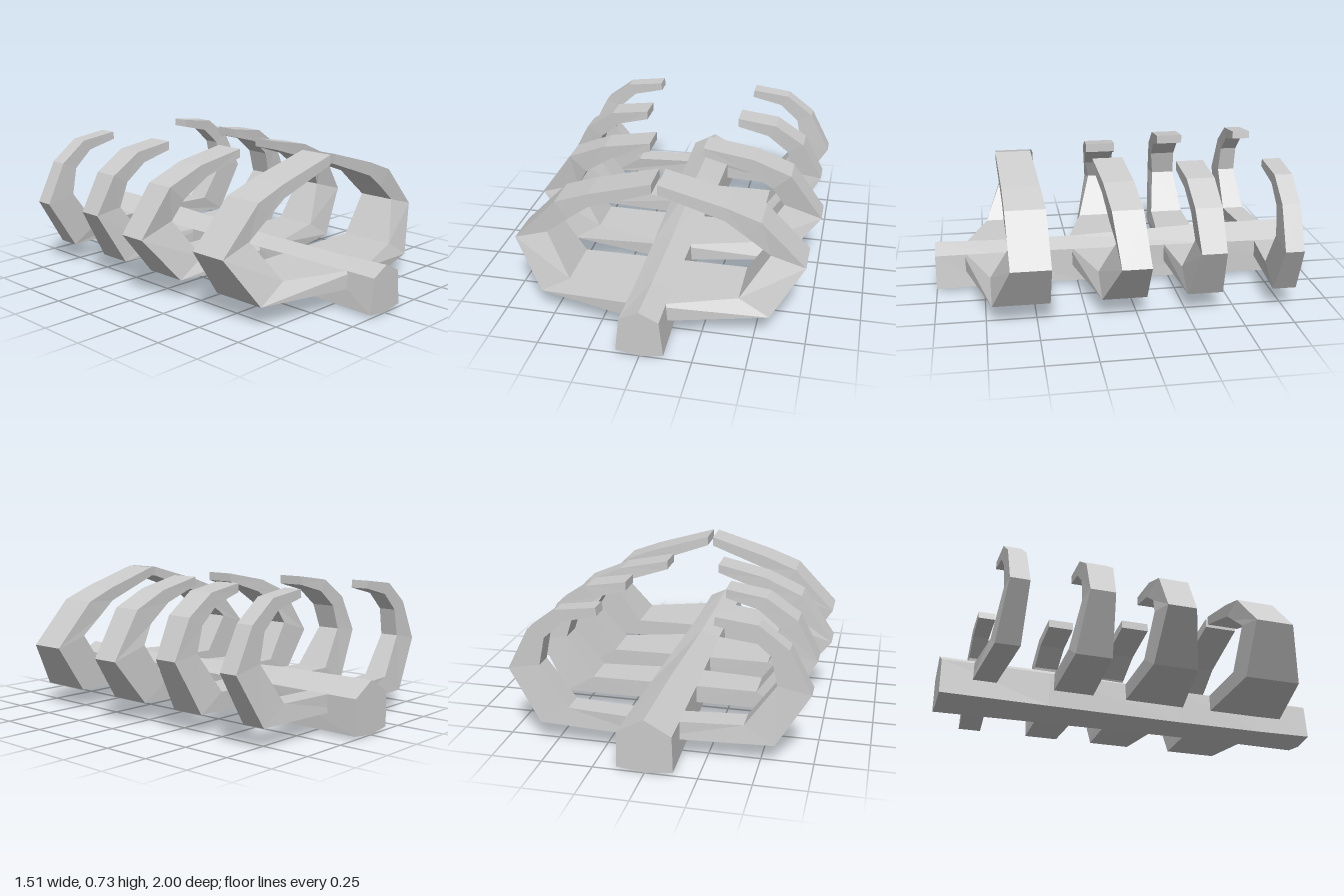
import * as THREE from 'three';

const material = new THREE.MeshStandardMaterial({ color: 0xcccccc, flatShading: true });

// Skin a list of equal-length rings (counter-clockwise seen from the last one) and cap both ends.
function loft(rings, mirrored = false) {
  const n = rings[0].length;
  const positions = rings.flat().flatMap(([x, y, z]) => [mirrored ? -x : x, y, z]);
  const index = [];
  const tri = (a, b, c) => (mirrored ? index.push(a, c, b) : index.push(a, b, c));
  for (let i = 0; i < rings.length - 1; i++) {
    for (let j = 0; j < n; j++) {
      const a = i * n + j, b = i * n + (j + 1) % n;
      tri(a, b, b + n);
      tri(a, b + n, a + n);
    }
  }
  const last = (rings.length - 1) * n;
  for (let j = 1; j < n - 1; j++) {
    tri(0, j + 1, j);
    tri(last, last + j, last + j + 1);
  }
  const indexed = new THREE.BufferGeometry();
  indexed.setAttribute('position', new THREE.Float32BufferAttribute(positions, 3));
  indexed.setIndex(index);
  const geometry = indexed.toNonIndexed();
  geometry.computeVertexNormals();
  return geometry;
}

// Spine stations: z, bottom half-width, shoulder half-width, ridge height
const spineStations = [
  [-1, 0.135, 0.13, 0.272],
  [-0.45, 0.12, 0.12, 0.268],
  [0.25, 0.106, 0.1, 0.24],
  [0.7, 0.106, 0.092, 0.238],
  [1, 0.115, 0.095, 0.246],
];

// Rib stations: outer x, outer y, inner x, inner y, front z, back z
const ribs = {
  firstRib: [
    [0, 0.11, 0, 0.2, 0.87, 0.435],
    [0.57, 0.11, 0.42, 0.2, 0.72, 0.435],
    [0.725, 0.35, 0.555, 0.4, 0.63, 0.435],
    [0.505, 0.575, 0.44, 0.49, 0.64, 0.44],
    [0.335, 0.638, 0.335, 0.567, 0.645, 0.455],
    [0.015, 0.73, 0.015, 0.68, 0.66, 0.48],
  ],
  secondRib: [
    [0, 0.11, 0, 0.2, 0.30, -0.04],
    [0.57, 0.11, 0.425, 0.2, 0.18, -0.045],
    [0.757, 0.34, 0.56, 0.4, 0.11, -0.035],
    [0.59, 0.578, 0.5, 0.5, 0.135, -0.02],
    [0.395, 0.66, 0.36, 0.595, 0.15, -0.005],
    [0.14, 0.71, 0.14, 0.665, 0.17, 0.015],
  ],
  thirdRib: [
    [0, 0.11, 0, 0.2, -0.21, -0.425],
    [0.57, 0.11, 0.425, 0.2, -0.25, -0.43],
    [0.72, 0.38, 0.57, 0.4, -0.28, -0.405],
    [0.615, 0.577, 0.53, 0.53, -0.265, -0.4],
    [0.46, 0.68, 0.42, 0.62, -0.255, -0.395],
    [0.255, 0.71, 0.255, 0.665, -0.245, -0.385],
  ],
  fourthRib: [
    [0, 0.11, 0, 0.2, -0.73, -0.85],
    [0.57, 0.11, 0.425, 0.2, -0.69, -0.81],
    [0.73, 0.37, 0.57, 0.4, -0.69, -0.785],
    [0.622, 0.578, 0.54, 0.54, -0.695, -0.785],
    [0.48, 0.685, 0.44, 0.63, -0.695, -0.785],
    [0.28, 0.71, 0.275, 0.67, -0.69, -0.785],
  ],
};

export function createModel() {
  const group = new THREE.Group();
  group.name = 'ribcage';

  // Five-sided spine with a ridge along the top and a slight keel
  const spine = new THREE.Mesh(loft(spineStations.map(([z, foot, shoulder, ridge]) => [
    [0, 0.005, z], [foot, 0.022, z], [shoulder, 0.2, z],
    [0, ridge, z], [-shoulder, 0.2, z], [-foot, 0.022, z],
  ])), material);
  spine.name = 'spine';
  group.add(spine);

  // Four pairs of curled ribs
  for (const [name, stations] of Object.entries(ribs)) {
    const rings = stations.map(([ox, oy, ix, iy, front, back]) => [
      [ox, oy, front], [ox, oy, back], [ix, iy, back], [ix, iy, front],
    ]);
    for (const side of ['Left', 'Right']) {
      const rib = new THREE.Mesh(loft(rings, side === 'Right'), material);
      rib.name = name + side;
      group.add(rib);
    }
  }
  return group;
}
